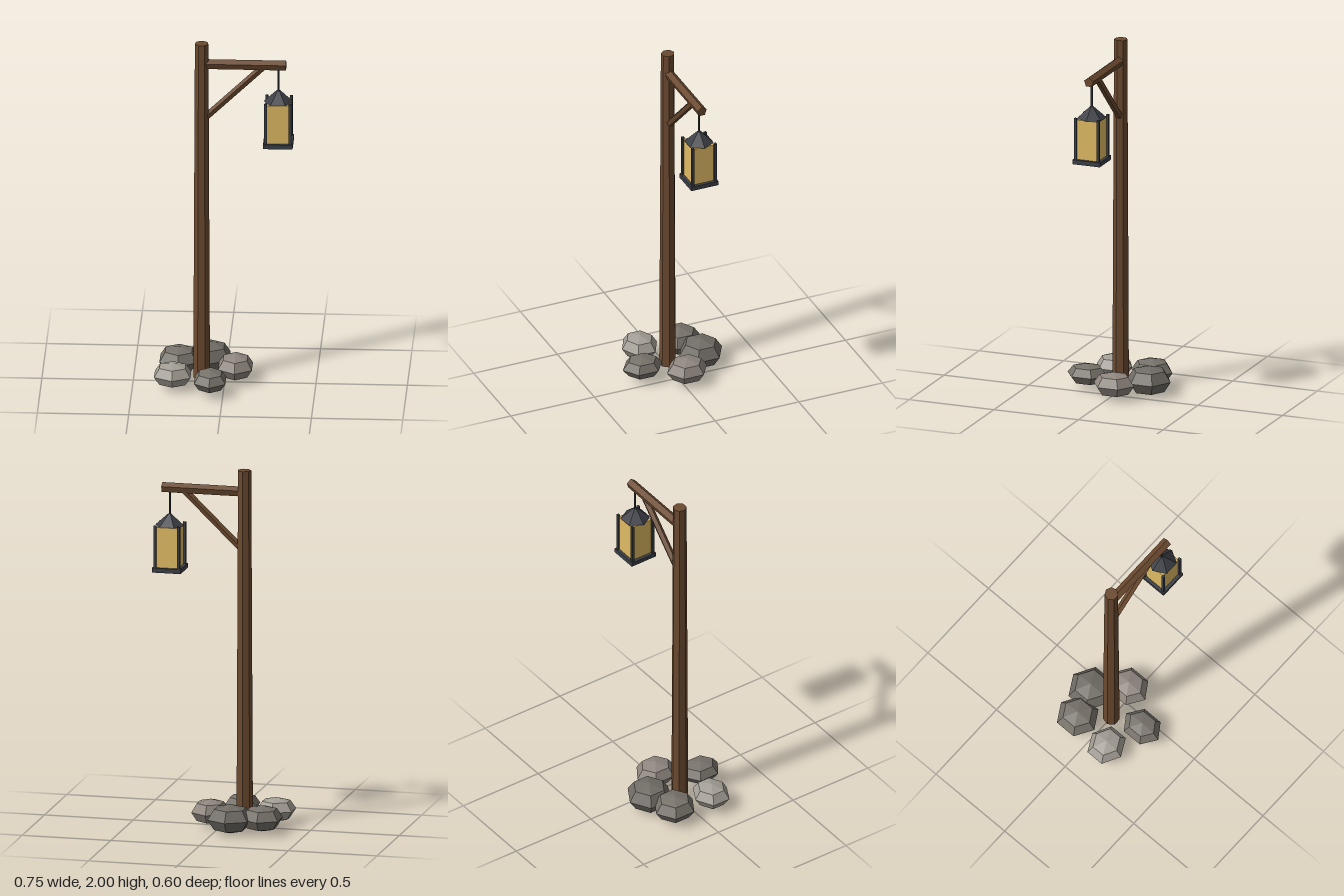
import * as THREE from 'three';

const paint = (color) => new THREE.MeshStandardMaterial({ color, flatShading: true });

export function createModel() {
  const model = new THREE.Group();
  model.name = 'lanternPost';
  const wood = paint(0x6b4a30);
  const iron = paint(0x3b3e45);
  const glass = paint(0xe0bb64);
  const Z = 0.006; // plane of post, arm and lantern

  const add = (parent, name, geometry, material, x, y, z) => {
    const mesh = new THREE.Mesh(geometry, material);
    mesh.name = name;
    mesh.position.set(x, y, z);
    parent.add(mesh);
    return mesh;
  };

  // Five-sided timber between two points in the xy plane, one edge facing up
  const timber = (name, x0, y0, x1, y1, radius) => {
    const length = Math.hypot(x1 - x0, y1 - y0);
    const g = new THREE.CylinderGeometry(radius, radius, length, 5);
    g.rotateX(-Math.PI / 2).rotateY(-Math.PI / 2).rotateZ(Math.atan2(y1 - y0, x1 - x0));
    add(model, name, g, wood, (x0 + x1) / 2, (y0 + y1) / 2, Z);
  };

  // Tapered seven-sided post
  const post = new THREE.CylinderGeometry(0.038, 0.047, 1.97, 7).rotateY(Math.PI);
  add(model, 'post', post, wood, -0.125, 1.015, Z);

  // Arm and diagonal brace
  timber('arm', -0.124, 1.879, 0.337, 1.879, 0.0284);
  timber('brace', -0.11, 1.559, 0.21, 1.867, 0.02);

  // Hanging lantern
  const lantern = new THREE.Group();
  lantern.name = 'lantern';
  lantern.position.set(0.295, 0, Z);
  model.add(lantern);
  add(lantern, 'hangerRod', new THREE.CylinderGeometry(0.006, 0.006, 0.16, 5), iron, 0, 1.795, 0);
  const roof = new THREE.CylinderGeometry(0.01, 0.081, 0.065, 6).rotateY(Math.PI / 6);
  add(lantern, 'lanternRoof', roof, iron, 0, 1.7, 0);
  add(lantern, 'lanternGlass', new THREE.BoxGeometry(0.126, 0.23, 0.126), glass, 0, 1.55, 0);
  add(lantern, 'lanternBase', new THREE.BoxGeometry(0.162, 0.025, 0.162), iron, 0, 1.428, 0);
  for (const sx of [-1, 1]) {
    for (const sz of [-1, 1]) {
      const bar = new THREE.BoxGeometry(0.015, 0.24, 0.015);
      add(lantern, 'lanternCornerBar', bar, iron, sx * 0.067, 1.556, sz * 0.067);
    }
  }

  // Ring of faceted stones: x, z, radii (x, y, z), color
  const stones = [
    [-0.257, -0.123, 0.119, 0.073, 0.121, 0x77726a],
    [-0.09, -0.175, 0.129, 0.082, 0.127, 0x706c65],
    [0.058, -0.028, 0.107, 0.07, 0.119, 0x8f867f],
    [-0.279, 0.107, 0.115, 0.068, 0.104, 0xa39e95],
    [-0.07, 0.182, 0.099, 0.06, 0.117, 0x77726a],
  ];
  for (const [x, z, rx, ry, rz, color] of stones) {
    const g = new THREE.SphereGeometry(1, 6, 4).rotateY(Math.PI / 2).scale(rx, ry, rz);
    add(model, 'baseStone', g, paint(color), x, 0.083, z);
  }
  return model;
}
